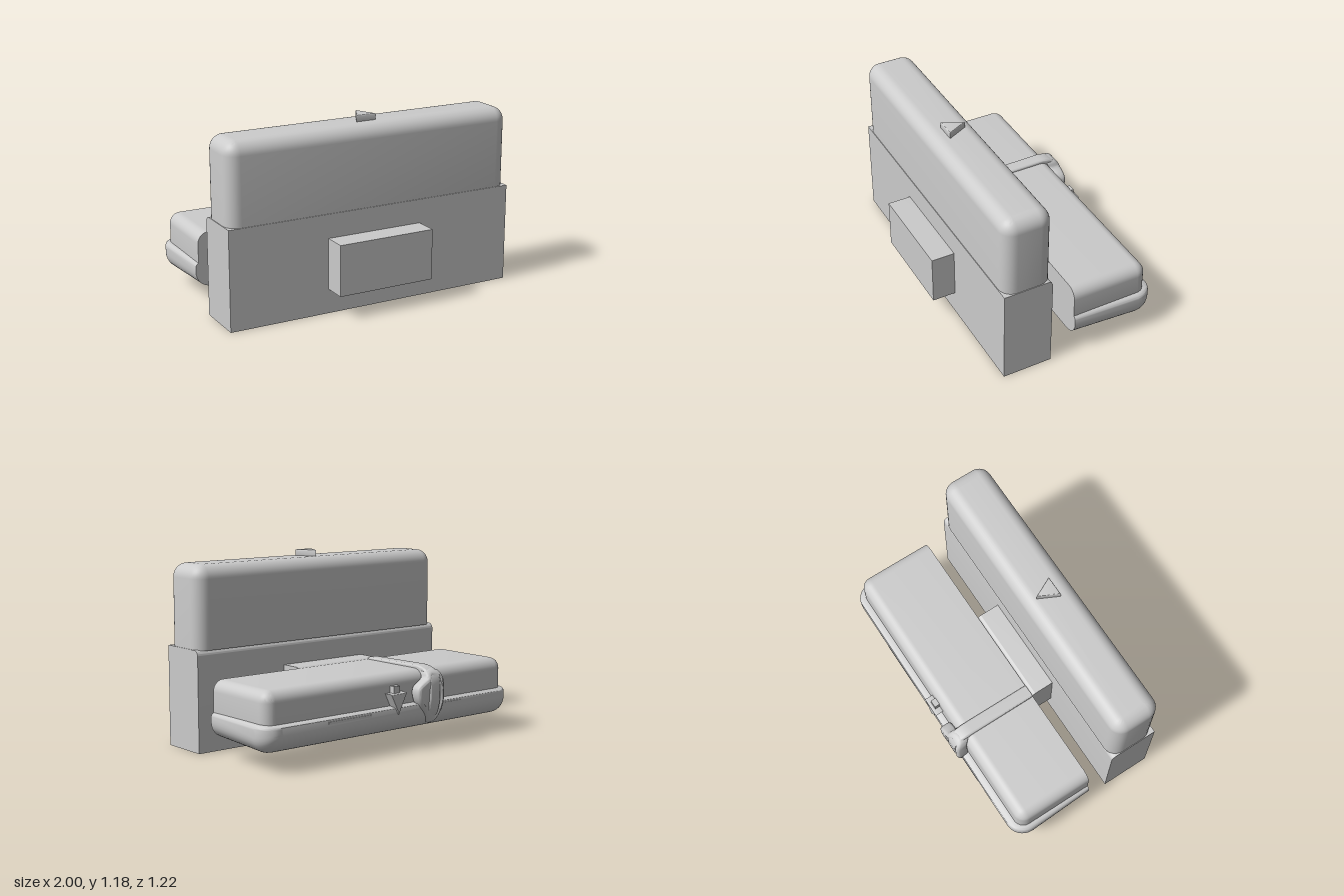
import * as THREE from 'three';
import { toCreasedNormals } from 'three/addons/utils/BufferGeometryUtils.js';

const material = new THREE.MeshStandardMaterial({ color: 0xcccccc });

function part(name, geometry, crease = 0.6) {
  const mesh = new THREE.Mesh(toCreasedNormals(geometry, crease), material);
  mesh.name = name;
  return mesh;
}

// Outline of a rounded rectangle, counter-clockwise, with separate bottom and top radii
function roundedRing({ hx, y0, y1, rb, rt }) {
  const ring = [], steps = 8;
  const corners = [[hx - rb, y0 + rb, rb, -90], [hx - rt, y1 - rt, rt, 0],
    [-hx + rt, y1 - rt, rt, 90], [-hx + rb, y0 + rb, rb, 180]];
  for (const [cx, cy, r, start] of corners) {
    for (let i = 0; i <= steps; i++) {
      const a = THREE.MathUtils.degToRad(start + 90 * i / steps);
      ring.push([cx + r * Math.cos(a), cy + r * Math.sin(a)]);
    }
  }
  return ring;
}

// Skin over rounded sections ordered by rising z, closed at both ends
function loft(sections) {
  const pos = [], index = [], n = 36;
  for (const s of sections) for (const [x, y] of roundedRing(s)) pos.push(x, y, s.z);
  for (let k = 0; k < sections.length - 1; k++) {
    for (let i = 0; i < n; i++) {
      const a = k * n + i, b = k * n + (i + 1) % n;
      index.push(a, b, b + n, a, b + n, a + n);
    }
  }
  const last = (sections.length - 1) * n;
  for (let i = 1; i < n - 1; i++) {
    index.push(0, i + 1, i, last, last + i, last + i + 1);
  }
  const g = new THREE.BufferGeometry();
  g.setAttribute('position', new THREE.Float32BufferAttribute(pos, 3));
  g.setIndex(index);
  g.computeVertexNormals();
  return g;
}

// Side profile in (z, y), extruded across x and centred on cx
function sideExtrude(shape, width, cx = 0, bevel = 0) {
  const depth = width - 2 * bevel;
  const g = new THREE.ExtrudeGeometry(shape, {
    depth, curveSegments: 10, bevelEnabled: bevel > 0,
    bevelThickness: bevel, bevelSize: bevel, bevelOffset: -bevel, bevelSegments: 4,
  });
  return g.rotateY(-Math.PI / 2).translate(cx + depth / 2, 0, 0);
}

// Block whose upper rear edge is rounded
function block(z0, z1, y0, y1, r) {
  const s = new THREE.Shape();
  s.moveTo(z0, y0).lineTo(z1, y0).lineTo(z1, y1).lineTo(z0 + r, y1);
  s.absarc(z0 + r, y1 - r, r, Math.PI / 2, Math.PI, false);
  s.lineTo(z0, y0);
  return s;
}

function triangle(name, half, height, depth) {
  const s = new THREE.Shape();
  s.moveTo(-half, 0).lineTo(0, -height).lineTo(half, 0).lineTo(-half, 0);
  return part(name, new THREE.ExtrudeGeometry(s, {
    depth: depth - 0.012, bevelThickness: 0.006, bevelSize: 0.008, bevelOffset: -0.008, bevelSegments: 3,
  }));
}

export function createModel() {
  const model = new THREE.Group();
  model.name = 'hardCase';

  // Upright front case: square base, mounting block and rounded cover
  model.add(part('frontBase', sideExtrude(block(0.14, 0.46, 0, 0.63, 0.035), 1.94)));
  model.add(part('mountingBlock', sideExtrude(block(-0.015, 0.61, 0.155, 0.478, 0.03), 0.64)));

  const steps = 10, cover = [], lid = [], tray = [];
  cover.push({ z: 0.625, hx: 0.966, y0: -0.456, y1: -0.138, rb: 0.085, rt: 0.085 });
  for (let i = 0; i <= steps; i++) {
    const a = (Math.PI / 2) * i / steps, d = 1 - Math.cos(a), e = Math.sin(a);
    // Cover rounds off toward the top
    const r = Math.max(0.085 - 0.085 * d, 0.004);
    cover.push({ z: 1.055 + 0.085 * e, hx: 0.966 - 0.085 * d,
      y0: -0.456 + 0.085 * d, y1: -0.138 - 0.085 * d, rb: r, rt: r });
    // Lid rounds off toward the rear
    const q = Math.max(0.07 - 0.07 * d, 0.004);
    lid.unshift({ z: -0.46 - 0.07 * e, hx: 0.966 - 0.07 * d,
      y0: 0.19 + 0.03 * d, y1: 0.475 - 0.07 * d, rb: q, rt: q });
    // Tray has a deep curve below and a tight one along its rim
    const t = 0.1 - 0.085 * d;
    tray.unshift({ z: -0.455 - 0.12 * e, hx: 1 - 0.11 * d,
      y0: 0.11 + 0.11 * d, y1: 0.283 - 0.018 * d, rb: t, rt: 0.03 - 0.015 * d });
  }
  lid.push({ z: -0.015, hx: 0.966, y0: 0.19, y1: 0.475, rb: 0.07, rt: 0.07 });
  tray.push({ z: -0.015, hx: 0.985, y0: 0.125, y1: 0.283, rb: 0.1, rt: 0.03 });
  model.add(part('frontCover', loft(cover).rotateX(-Math.PI / 2)));
  model.add(part('rearLid', loft(lid)));
  model.add(part('rearTray', loft(tray)));

  // Arrow on the cover, pointing to the rear
  const arrow = triangle('topArrow', 0.066, 0.132, 0.05);
  arrow.geometry.rotateX(Math.PI / 2).scale(1, -1, 1).scale(1, -1, 1);
  arrow.position.set(0, 1.174, 0.345);
  model.add(arrow);
  arrow.geometry.computeBoundingBox();

  // Latch at the rear: downward triangle with a knob
  const latch = new THREE.Group();
  latch.name = 'rearLatch';
  const plate = triangle('latchPlate', 0.066, 0.13, 0.07);
  plate.position.set(0, 0.36, -0.58);
  const knob = part('latchKnob', new THREE.BoxGeometry(0.05, 0.045, 0.06));
  knob.position.set(0, 0.38, -0.535);
  latch.add(plate, knob);
  model.add(latch);

  // Thin ribs on the tray edge
  for (const side of [-1, 1]) {
    const rib = part('trayRib', new THREE.BoxGeometry(0.33, 0.016, 0.03));
    rib.position.set(side * 0.38, 0.25, -0.565);
    model.add(rib);
  }

  // Strap over the lid, turning down at the rear
  const s = new THREE.Shape();
  s.moveTo(-0.015, 0.44).lineTo(-0.015, 0.487).lineTo(-0.46, 0.495);
  s.bezierCurveTo(-0.55, 0.495, -0.605, 0.46, -0.608, 0.38);
  s.lineTo(-0.608, 0.3).quadraticCurveTo(-0.6, 0.19, -0.54, 0.15);
  s.lineTo(-0.5, 0.2).lineTo(-0.5, 0.42).lineTo(-0.42, 0.44).lineTo(-0.015, 0.44);
  model.add(part('strap', sideExtrude(s, 0.088, -0.284, 0.012), 0.8));

  // Clasp: flared foot, swept forward at its top and bottom
  const outline = [[-0.33, 0.46], [-0.355, 0.36], [-0.35, 0.23], [-0.32, 0.15], [-0.27, 0.15],
    [-0.23, 0.21], [-0.165, 0.3], [-0.16, 0.37], [-0.23, 0.42], [-0.25, 0.46]];
  const curve = new THREE.CatmullRomCurve3(
    outline.map(([x, y]) => new THREE.Vector3(x, y, 0)), true);
  const clasp = new THREE.ExtrudeGeometry(new THREE.Shape(
    curve.getPoints(40).slice(0, -1).map((p) => new THREE.Vector2(p.x, p.y))), {
    depth: 0.04, bevelThickness: 0.02, bevelSize: 0.02, bevelOffset: -0.01, bevelSegments: 5,
  });
  clasp.translate(0, 0, -0.59);
  const p = clasp.attributes.position;
  for (let i = 0; i < p.count; i++) {
    const y = p.getY(i), low = Math.max(0.32 - y, 0), high = Math.max(y - 0.4, 0);
    p.setZ(i, p.getZ(i) + 1.6 * low * low + 7 * high * high);
  }
  model.add(part('clasp', clasp, 0.8));

  return model;
}
